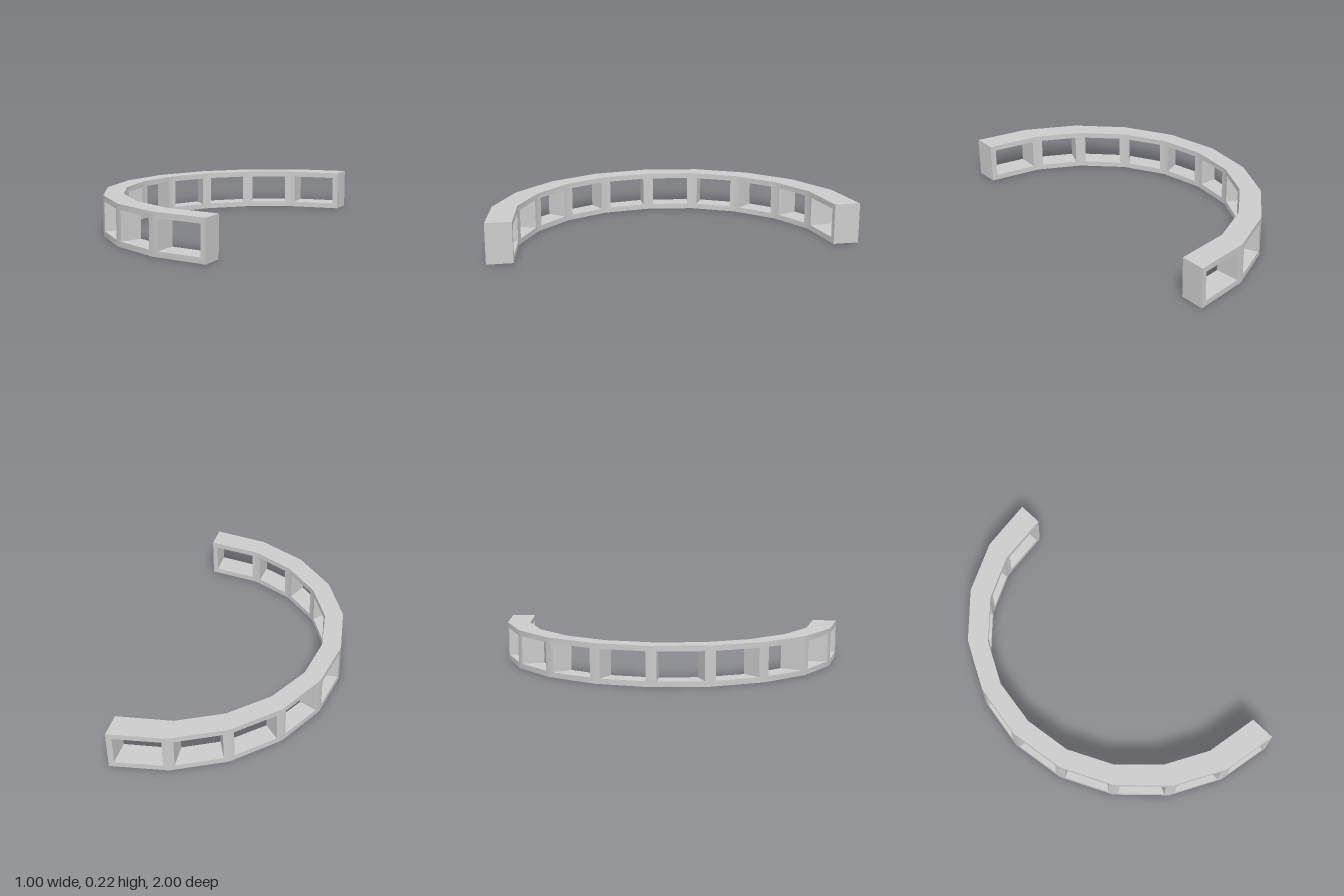
import * as THREE from 'three';
import { toCreasedNormals } from 'three/addons/utils/BufferGeometryUtils.js';

const HEIGHT = 0.22, RIM = 0.03, SEGMENTS = 10;

// Half of the inner outline, from the +z end to the middle (x, z)
const INNER_HALF = [[0.5, 0.86], [0.2, 0.816], [-0.038, 0.694], [-0.232, 0.502], [-0.354, 0.265], [-0.393, 0]];

const material = new THREE.MeshStandardMaterial({ color: 0xcccccc, side: THREE.DoubleSide });

function quadMesh(name, quads) {
  const positions = [];
  for (const [a, b, c, d] of quads)
    for (const p of [a, b, c, a, c, d]) positions.push(p.x, p.y, p.z);
  const geometry = new THREE.BufferGeometry();
  geometry.setAttribute('position', new THREE.Float32BufferAttribute(positions, 3));
  const mesh = new THREE.Mesh(toCreasedNormals(geometry, Math.PI / 6), material);
  mesh.name = name;
  return mesh;
}

// Corners of an upright rectangle over the line a-b, inset on all sides
function rectangle(a, b, inset) {
  const step = b.clone().sub(a).setLength(inset);
  const l = a.clone().add(step), r = b.clone().sub(step);
  const at = (p, y) => new THREE.Vector3(p.x, y, p.z);
  return [at(l, inset), at(r, inset), at(r, HEIGHT - inset), at(l, HEIGHT - inset)];
}

// Four quads between a rectangle and its window
const frame = (o, w) => o.map((_, k) => [o[k], o[(k + 1) % 4], w[(k + 1) % 4], w[k]]);

export function createModel() {
  const group = new THREE.Group();
  group.name = 'windowedArc';

  // Outlines running from the +z end round to the -z end
  const outer = [], inner = [];
  for (let i = 0; i <= SEGMENTS; i++) {
    const t = (i / SEGMENTS) * Math.PI;
    outer.push(new THREE.Vector3(0.5 - Math.sin(t), 0, Math.cos(t)));
    const [x, z] = INNER_HALF[Math.min(i, SEGMENTS - i)];
    inner.push(new THREE.Vector3(x, 0, i <= SEGMENTS / 2 ? z : -z));
  }

  const outerWall = [], innerWall = [], linings = [], top = [];
  const up = p => new THREE.Vector3(p.x, HEIGHT, p.z);
  const mirror = [1, 0, 3, 2];
  for (let i = 0; i < SEGMENTS; i++) {
    const o0 = outer[i], o1 = outer[i + 1], n0 = inner[i], n1 = inner[i + 1];
    const wo = rectangle(o1, o0, RIM), wi = rectangle(n0, n1, RIM);
    outerWall.push(...frame(rectangle(o1, o0, 0), wo));
    innerWall.push(...frame(rectangle(n0, n1, 0), wi));
    // Sill, head and jambs joining the two window openings
    linings.push(...frame(wo, mirror.map(k => wi[k])));
    top.push([up(o1), up(o0), up(n0), up(n1)]);
  }

  // The shell is left open underneath
  const n = SEGMENTS;
  group.add(
    quadMesh('outerWall', outerWall),
    quadMesh('innerWall', innerWall),
    quadMesh('windowLinings', linings),
    quadMesh('topPlate', top),
    quadMesh('endCaps', [
      [outer[0], inner[0], up(inner[0]), up(outer[0])],
      [inner[n], outer[n], up(outer[n]), up(inner[n])],
    ]),
  );
  return group;
}
